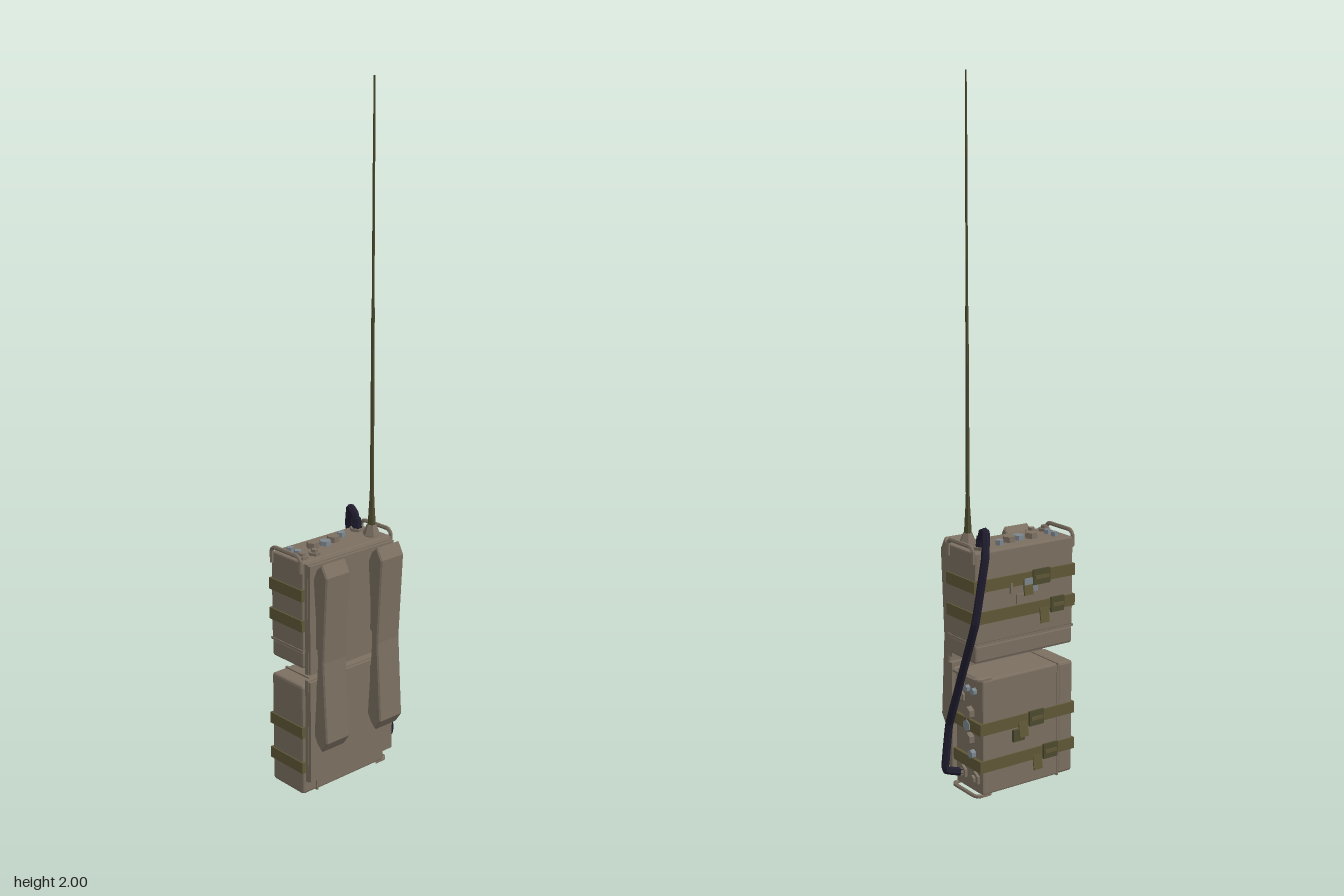
import * as THREE from 'three';
import { RoundedBoxGeometry } from 'three/addons/geometries/RoundedBoxGeometry.js';

const paint = (name, color) => {
  const m = new THREE.MeshStandardMaterial({ color });
  m.name = name;
  return m;
};

export function createModel() {
  const body = paint('drab brown', 0x7b6f61);
  const strap = paint('olive webbing', 0x5f5736);
  const steel = paint('blue grey metal', 0x7c868d);
  const navy = paint('dark cable', 0x1f1d2e);
  const olive = paint('dark olive', 0x4c4a2f);
  const model = new THREE.Group();
  model.name = 'backpackRadio';

  // Faceted mesh helper
  function add(parent, name, geometry, material, x = 0, y = 0, z = 0) {
    const g = geometry.index ? geometry.toNonIndexed() : geometry;
    g.computeVertexNormals();
    const mesh = new THREE.Mesh(g, material);
    mesh.name = name;
    mesh.position.set(x, y, z);
    parent.add(mesh);
    return mesh;
  }
  const box = (w, h, d) => new THREE.BoxGeometry(w, h, d);
  const hex = (r0, r1, h) => new THREE.CylinderGeometry(r0, r1, h, 6).rotateY(Math.PI / 6);
  function tube(points, radius, segments, sides = 6) {
    const pts = points.map(p => new THREE.Vector3(...p));
    const curve = new THREE.CatmullRomCurve3(pts, false, 'catmullrom', 0.08);
    return new THREE.TubeGeometry(curve, segments, radius, sides);
  }

  // Radio case with its control face on top, centred on x, base at y = 0
  function makeRadio(name) {
    const r = new THREE.Group();
    r.name = name;
    add(r, 'case', new RoundedBoxGeometry(0.338, 0.262, 0.134, 1, 0.005), body, 0, 0.185, -0.015);
    add(r, 'batteryCover', new RoundedBoxGeometry(0.338, 0.054, 0.134, 1, 0.008), body, 0, 0.027, -0.015);
    add(r, 'coverSeam', box(0.342, 0.006, 0.137), body, 0, 0.054, -0.015);

    // Control knobs: x, z, radius, height, material
    const knobs = [
      [-0.130, -0.045, 0.011, 0.012, steel], [-0.130, -0.012, 0.011, 0.012, steel],
      [-0.063, -0.025, 0.019, 0.016, body], [-0.023, -0.018, 0.018, 0.013, steel],
      [0.014, -0.025, 0.019, 0.016, body], [0.056, -0.038, 0.013, 0.014, steel],
    ];
    for (const [x, z, rad, h, mat] of knobs)
      add(r, 'knob', hex(rad * 0.95, rad, h), mat, x, 0.316 + h / 2, z);

    // Stepped sockets
    for (const [x, z, rad] of [[-0.143, 0.021, 0.018], [-0.097, 0.021, 0.018],
      [0.127, -0.048, 0.022], [0.127, 0.014, 0.022]]) {
      add(r, 'socketBase', hex(rad, rad, 0.008), body, x, 0.32, z);
      add(r, 'socketCore', hex(rad * 0.55, rad * 0.55, 0.016), body, x, 0.324, z);
    }

    // Guard handles on both ends
    for (const s of [-1, 1]) {
      const x = s * 0.171;
      add(r, 'guardHandle', tube([[x, 0.285, 0.046], [x, 0.322, 0.046], [x, 0.332, 0.034],
        [x, 0.332, -0.063], [x, 0.322, -0.076], [x, 0.285, -0.076]], 0.006, 40), body);
    }
    model.add(r);
    return r;
  }
  const upper = makeRadio('upperRadio');
  upper.position.set(-0.0235, 0.4, 0);
  const lower = makeRadio('lowerRadio');
  lower.rotation.z = -Math.PI / 2;
  lower.position.set(-0.195, 0.178, 0);

  // Webbing straps with buckles and loose ends on the back
  const straps = [
    [0.62, -0.0235, 0.348, -0.075, 0.058], [0.53, -0.0235, 0.348, -0.132, 0.045],
    [0.205, -0.034, 0.33, -0.06, 0.05], [0.095, -0.034, 0.33, -0.11, 0.05],
  ];
  for (const [y, x, w, bx, bw] of straps) {
    add(model, 'strap', box(w, 0.034, 0.14), strap, x, y, -0.016);
    add(model, 'buckle', box(bw, 0.044, 0.007), olive, bx, y, -0.089);
    add(model, 'buckleBar', box(bw * 0.8, 0.01, 0.006), strap, bx, y, -0.093);
    const end = add(model, 'looseStrapEnd', box(0.03, 0.045, 0.004), strap, bx + 0.045, y - 0.025, -0.089);
    end.rotation.x = 0.15;
  }

  // Small plates on the back
  add(model, 'dataPlate', box(0.045, 0.04, 0.008), steel, -0.04, 0.6, -0.086);
  add(model, 'catchPlate', box(0.035, 0.028, 0.006), body, -0.01, 0.565, -0.085);
  add(model, 'catch', box(0.006, 0.03, 0.008), body, 0.027, 0.6, -0.086);
  add(model, 'catchPlate', box(0.04, 0.035, 0.008), olive, 0.0, 0.165, -0.086);

  // Carrying frame: two stacked layers for each radio
  for (const [y0, y1] of [[0.384, 0.712], [0.05, 0.366]]) {
    add(model, 'framePlate', box(0.32, y1 - y0, 0.014), body, -0.025, (y0 + y1) / 2, 0.058);
    add(model, 'frameCover', box(0.318, y1 - y0 - 0.006, 0.01), body, -0.025, (y0 + y1) / 2, 0.069);
  }

  // Bowed back pads with bevelled ends, built as a side profile swept across x
  const profile = new THREE.Shape([[0.108, 0.72], [0.085, 0.7], [0.072, 0.67], [0.088, 0.43],
    [0.072, 0.2], [0.085, 0.175], [0.105, 0.157], [0.128, 0.19], [0.113, 0.43], [0.128, 0.685]]
    .map(p => new THREE.Vector2(-p[0], p[1])));
  for (const x of [-0.1275, 0.0785]) {
    const g = new THREE.ExtrudeGeometry(profile, { depth: 0.08, bevelEnabled: true,
      bevelSegments: 1, bevelSize: 0.004, bevelOffset: -0.004, bevelThickness: 0.004 });
    g.translate(0, 0, -0.04).rotateY(Math.PI / 2);
    // the turn maps shape x to -z, so the profile was drawn with z negated
    add(model, 'backPad', g, body, x, 0, 0);
    add(model, 'padMount', box(0.07, 0.2, 0.03), body, x, 0.56, 0.08);
    add(model, 'padMount', box(0.07, 0.14, 0.03), body, x, 0.28, 0.08);
  }

  // Whip antenna in tapering sections
  const antenna = new THREE.Group();
  antenna.name = 'antenna';
  antenna.position.set(0.1035, 0, 0.014);
  model.add(antenna);
  add(antenna, 'antennaBase', hex(0.014, 0.027, 0.03), body, 0, 0.735, 0);
  add(antenna, 'antennaSpring', hex(0.009, 0.012, 0.05), olive, 0, 0.775, 0);
  for (const [y0, y1, r0, r1] of [[0.8, 0.86, 0.0085, 0.006], [0.86, 1.38, 0.006, 0.005],
    [1.38, 1.9, 0.004, 0.0033], [1.9, 2, 0.0028, 0.0025]])
    add(antenna, 'antennaSection', hex(r1, r0, y1 - y0), olive, 0, (y0 + y1) / 2, 0);

  // Cable linking the two radios
  add(model, 'cablePlug', hex(0.012, 0.015, 0.03), navy, 0.1035, 0.738, -0.048);
  add(model, 'cable', tube([[0.1035, 0.735, -0.048], [0.104, 0.765, -0.058], [0.115, 0.774, -0.09],
    [0.135, 0.71, -0.117], [0.169, 0.53, -0.118], [0.177, 0.21, 0.002], [0.183, 0.07, 0.016],
    [0.13, 0.051, 0.014]], 0.0115, 110), navy);

  return model;
}
